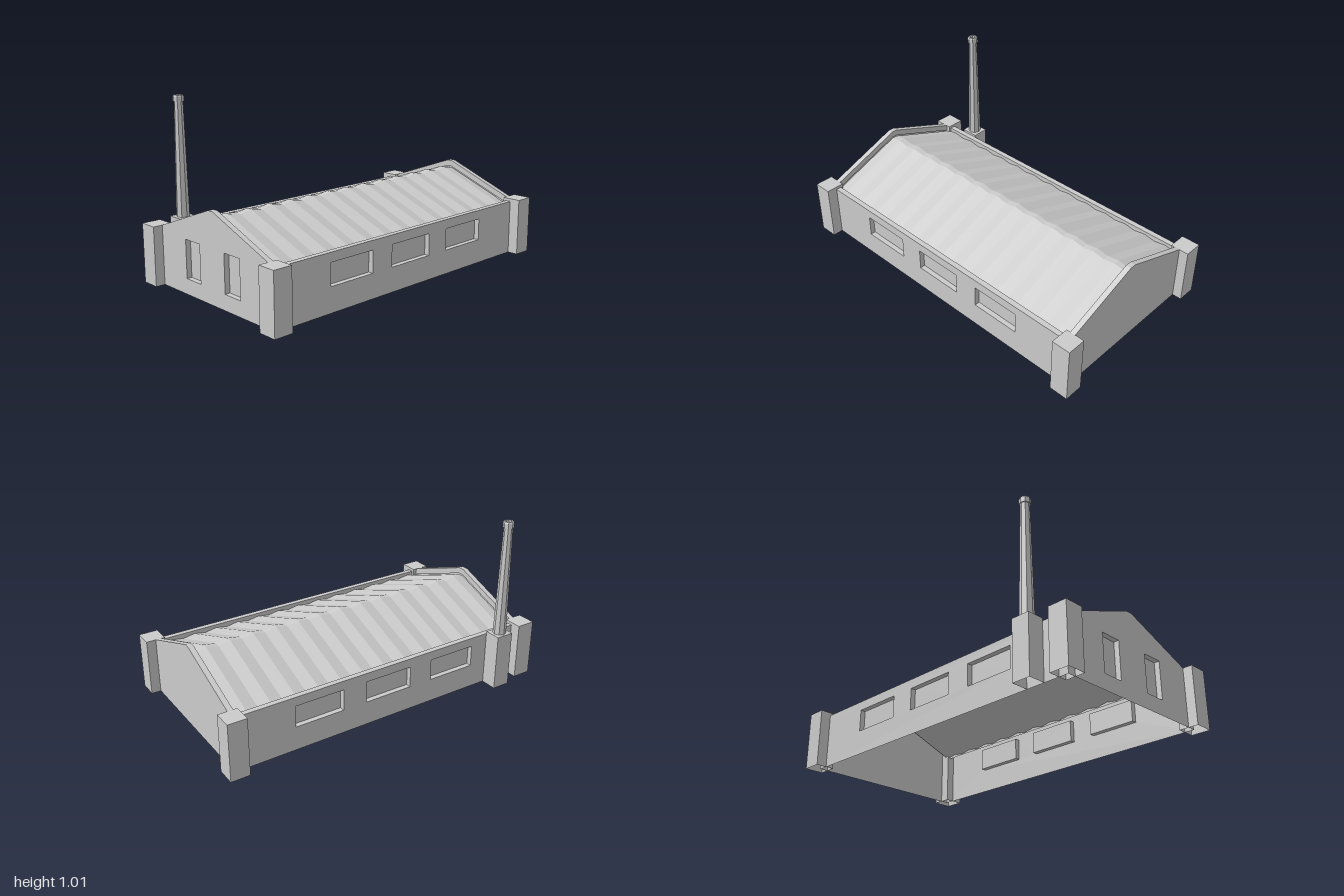
import * as THREE from 'three';

const material = new THREE.MeshStandardMaterial({ color: 0xcccccc, flatShading: true, side: THREE.DoubleSide });

const HALF_X = 0.945, HALF_Z = 0.495, EAVE = 0.318, APEX = 0.497, FLAT = 0.0175;
const RIM = 0.032, DROP = 0.037;

function add(parent, name, geometry, x = 0, y = 0, z = 0) {
  const mesh = new THREE.Mesh(geometry, material);
  mesh.name = name;
  mesh.position.set(x, y, z);
  parent.add(mesh);
  return mesh;
}

// Box with one face left out (0..5 = +x, -x, +y, -y, +z, -z)
function openBox(w, h, d, face) {
  const g = new THREE.BoxGeometry(w, h, d);
  const index = Array.from(g.index.array);
  index.splice(face * 6, 6);
  g.setIndex(index);
  g.clearGroups();
  return g;
}

// Surface through rows of points of equal length
function sheet(rows) {
  const n = rows[0].length, index = [];
  for (let r = 0; r < rows.length - 1; r++) {
    for (let i = 0; i < n - 1; i++) {
      const a = r * n + i, b = a + n;
      index.push(a, a + 1, b, b, a + 1, b + 1);
    }
  }
  const g = new THREE.BufferGeometry();
  g.setAttribute('position', new THREE.Float32BufferAttribute(rows.flat(2), 3));
  g.setIndex(index);
  g.computeVertexNormals();
  return g;
}

// Wall facing +z: panel with recessed windows [x, y, w, h], coping on top, inner lip
function makeWall(name, top, windows, depth = 0.03) {
  const wall = new THREE.Group();
  wall.name = name;
  const left = top[0][0], right = top[top.length - 1][0];
  const shape = new THREE.Shape([[left, 0], [right, 0], ...top.slice().reverse()].map(p => new THREE.Vector2(...p)));
  for (const [x, y, w, h] of windows) {
    const hole = [[-1, -1], [-1, 1], [1, 1], [1, -1]];
    shape.holes.push(new THREE.Path(hole.map(([i, j]) => new THREE.Vector2(x + i * w / 2, y + j * h / 2))));
    add(wall, 'windowRecess', openBox(w, h, depth, 4), x, y, -depth / 2);
  }
  add(wall, 'wallPanel', new THREE.ShapeGeometry(shape));
  add(wall, 'wallCoping', sheet([
    top.map(([x, y]) => [x, y, 0]),
    top.map(([x, y]) => [x, y, -RIM]),
    top.map(([x, y]) => [x, y - DROP, -RIM]),
  ]));
  return wall;
}

// Corrugated roof folded over a narrow ridge
function makeRoof() {
  const waves = 13, halfX = HALF_X - RIM, halfZ = HALF_Z - RIM + 0.005;
  const slope = (APEX - EAVE) / (HALF_Z - FLAT);
  const ridge = APEX - DROP;
  const rows = [-halfZ, -FLAT, FLAT, halfZ].map(z => {
    const y = ridge - slope * (Math.abs(z) - FLAT);
    return Array.from({ length: waves * 2 + 1 }, (_, i) =>
      [-halfX + i * halfX / waves, y + (i % 2 ? 0.006 : -0.006), z]);
  });
  // Rows run back to front, so reverse them to face upward
  return sheet(rows.reverse());
}

export function createModel() {
  const model = new THREE.Group();
  model.name = 'factoryHall';

  // Hall, with all walls placed around its own centre
  const hall = new THREE.Group();
  hall.name = 'hall';
  hall.position.z = 0.0175;
  model.add(hall);

  const sideTop = [[-HALF_X, EAVE], [HALF_X, EAVE]];
  const gableTop = [[-HALF_Z, EAVE], [-FLAT, APEX], [FLAT, APEX], [HALF_Z, EAVE]];
  const longWindows = [-0.44, 0, 0.44].map(x => [x, 0.2025, 0.295, 0.125]);
  const gableWindows = [-0.167, 0.167].map(x => [x, 0.195, 0.125, 0.215]);

  const front = makeWall('frontWall', sideTop, longWindows);
  front.position.z = HALF_Z;
  const back = makeWall('backWall', sideTop, longWindows);
  back.position.z = -HALF_Z;
  back.rotation.y = Math.PI;
  const leftGable = makeWall('leftGable', gableTop, []);
  leftGable.position.x = HALF_X;
  leftGable.rotation.y = Math.PI / 2;
  const rightGable = makeWall('rightGable', gableTop, gableWindows);
  rightGable.position.x = -HALF_X;
  rightGable.rotation.y = -Math.PI / 2;
  hall.add(front, back, leftGable, rightGable);

  add(hall, 'corrugatedRoof', makeRoof());

  // Corner pillars, open underneath
  for (const sx of [-1, 1]) {
    for (const sz of [-1, 1]) {
      add(hall, 'cornerPillar', openBox(0.11, 0.335, 0.11, 3), sx * 0.945, 0.1675, sz * 0.5025);
    }
  }

  // Chimney: square base, tapered octagonal shaft and hollow collar
  const chimney = new THREE.Group();
  chimney.name = 'chimney';
  chimney.position.set(-0.748, 0, -0.527);
  model.add(chimney);
  add(chimney, 'chimneyBase', openBox(0.107, 0.332, 0.097, 3), 0, 0.166, 0);
  const profile = [
    [0.038, 0.33], [0.025, 0.976], [0.031, 0.976], [0.031, 1.004],
    [0.027, 1.011], [0.018, 1.011], [0.018, 0.97], [0, 0.97],
  ].map(p => new THREE.Vector2(...p));
  add(chimney, 'chimneyShaft', new THREE.LatheGeometry(profile, 8));

  return model;
}
